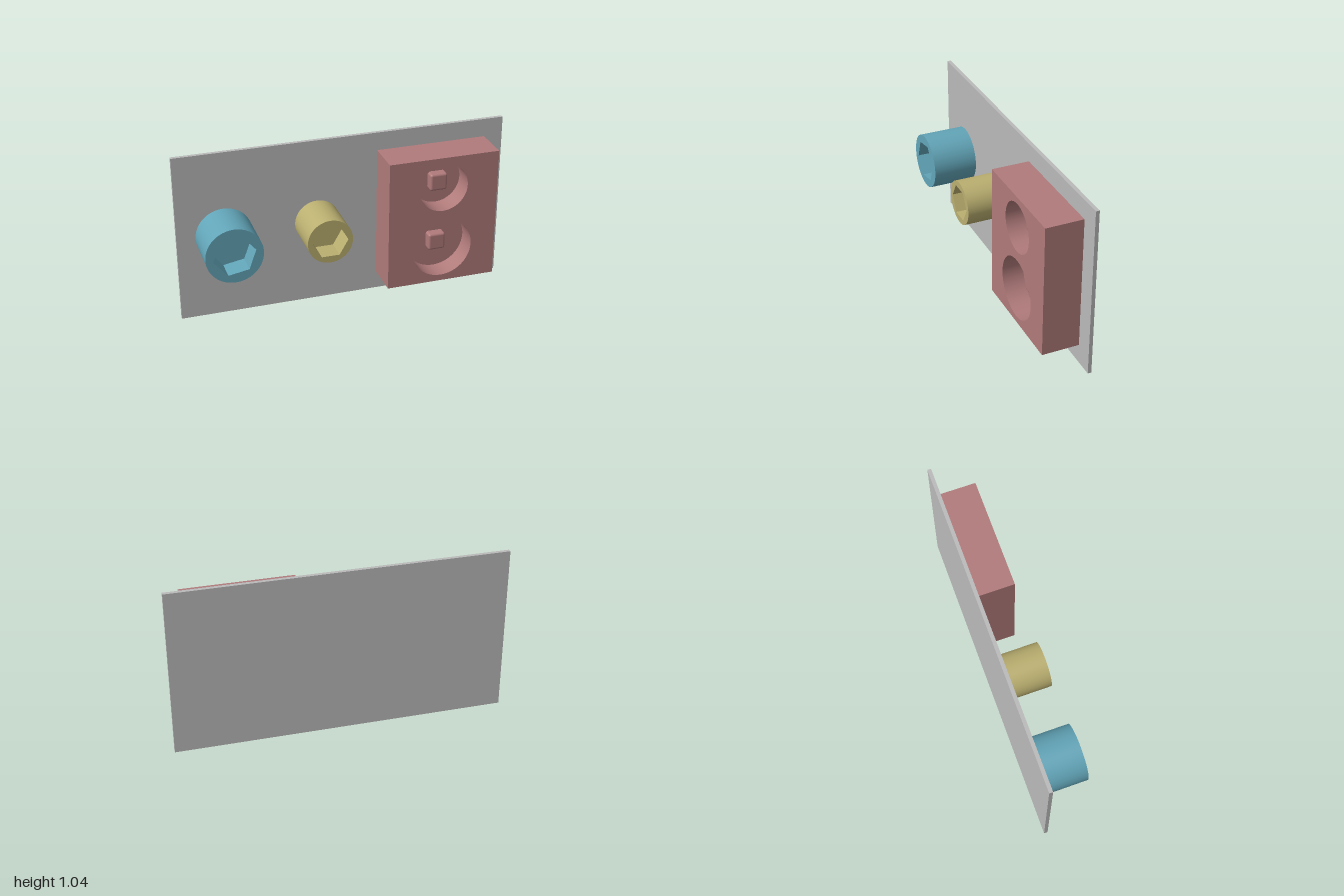
import * as THREE from 'three';
import { toCreasedNormals } from 'three/addons/utils/BufferGeometryUtils.js';
import { RoundedBoxGeometry } from 'three/addons/geometries/RoundedBoxGeometry.js';

const BACK = -0.125; // front face of the plate, where every part is mounted

const paint = (name, color) => {
  const m = new THREE.MeshStandardMaterial({ color });
  m.name = name;
  return m;
};

function add(parent, name, geometry, material, x = 0, y = 0, z = 0) {
  const mesh = new THREE.Mesh(geometry, material);
  mesh.name = name;
  mesh.position.set(x, y, z);
  parent.add(mesh);
  return mesh;
}

const circle = (Type, x, y, r) => new Type().absarc(x, y, r, 0, Math.PI * 2, false);

function hexagon(Type, r, turn) {
  const points = [];
  for (let i = 0; i < 6; i++) {
    const a = turn + (i * Math.PI) / 3;
    points.push(new THREE.Vector2(r * Math.cos(a), r * Math.sin(a)));
  }
  return new Type(points);
}

// Straight extrusion with smooth curved walls and sharp edges
function extrude(shape, depth) {
  const g = new THREE.ExtrudeGeometry(shape, { depth, bevelEnabled: false, curveSegments: 32 });
  return toCreasedNormals(g, 0.4);
}

// Round barrel with a hexagonal recess in its front end
function socket(name, material, x, y, radius, hexRadius, turn) {
  const group = new THREE.Group();
  group.name = name;
  group.position.set(x, y, BACK);
  const length = 0.272, recess = 0.13;
  const ring = circle(THREE.Shape, 0, 0, radius);
  ring.holes.push(hexagon(THREE.Path, hexRadius, turn));
  add(group, 'socketWall', extrude(ring, length), material);
  // recess floor
  add(group, 'socketFloor', new THREE.ShapeGeometry(hexagon(THREE.Shape, hexRadius, turn)),
    material, 0, 0, length - recess);
  return group;
}

export function createModel() {
  const model = new THREE.Group();
  model.name = 'socketHolder';
  const grey = paint('plate grey', 0xbababa);
  const blue = paint('socket blue', 0x62a5b8);
  const yellow = paint('socket yellow', 0xbaaf70);
  const red = paint('block red', 0xb07a7a);

  // Backing plate
  add(model, 'backPlate', new THREE.BoxGeometry(2, 1.036, 0.022), grey, 0, 0.518, -0.136);

  // Hex sockets
  model.add(socket('largeSocket', blue, -0.72, 0.518, 0.168, 0.126, THREE.MathUtils.degToRad(10)));
  model.add(socket('smallSocket', yellow, -0.16, 0.518, 0.135, 0.107, 0));

  // Block with two round wells, each holding a square drive peg
  const block = new THREE.Group();
  block.name = 'driveBlock';
  model.add(block);
  const front = 0.1, floor = -0.03, x = 0.546;
  const wells = [{ y: 0.735, r: 0.15 }, { y: 0.34, r: 0.187 }];
  const face = new THREE.Shape([[0.21, 0.115], [0.885, 0.115], [0.885, 0.925], [0.21, 0.925]]
    .map(([px, py]) => new THREE.Vector2(px, py)));
  for (const { y, r } of wells) face.holes.push(circle(THREE.Path, x, y, r));
  add(block, 'blockBody', extrude(face, front - BACK), red, 0, 0, BACK);
  for (const { y, r } of wells) {
    add(block, 'wellFloor', new THREE.CircleGeometry(r, 64), red, x, y, floor);
    add(block, 'drivePeg', new RoundedBoxGeometry(0.106, 0.106, 0.08, 4, 0.014), red, x, y, -0.015);
  }
  return model;
}
